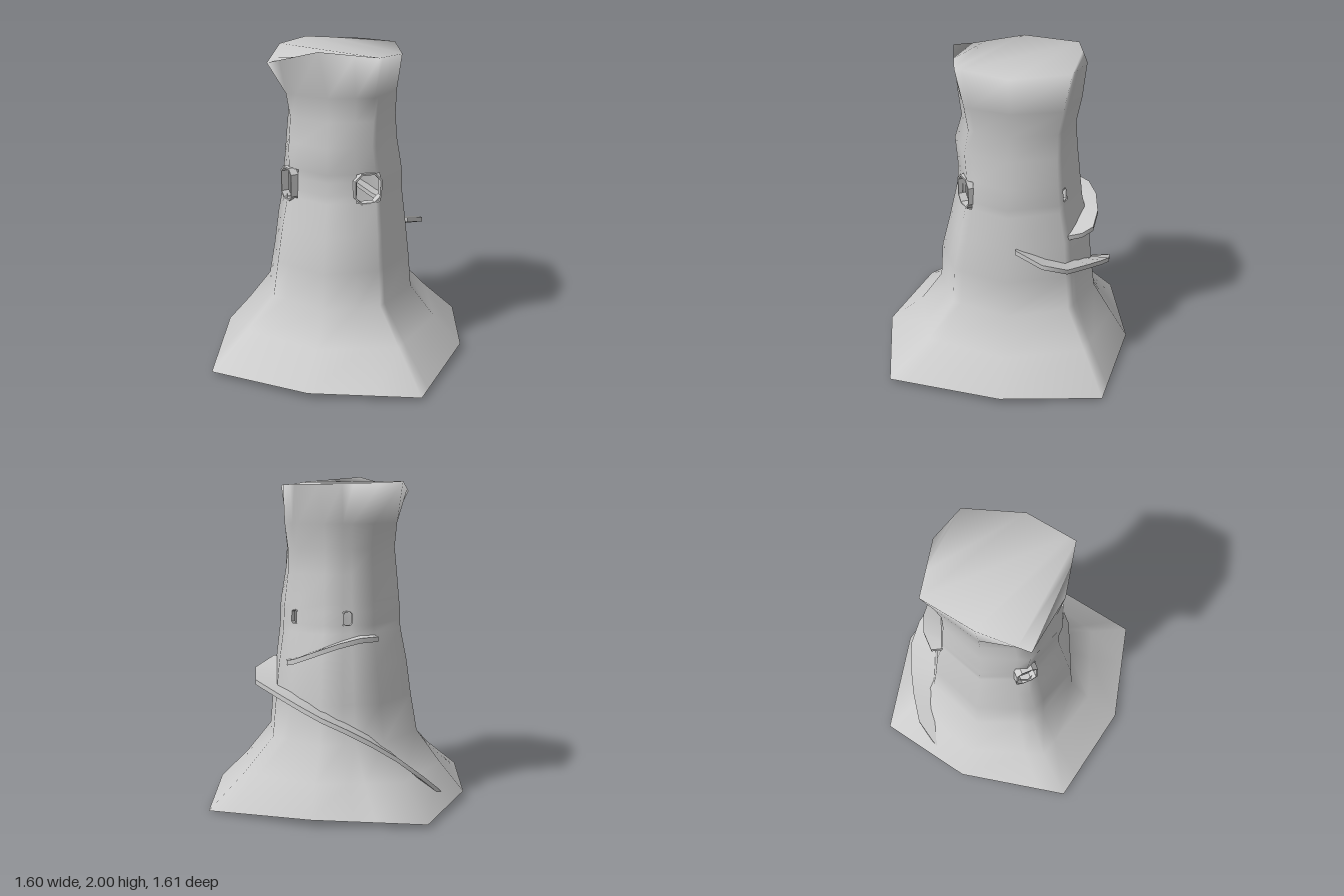
import * as THREE from 'three';

const material = new THREE.MeshStandardMaterial({ color: 0xcccccc, side: THREE.DoubleSide });

// Eight-cornered trunk rings: height, -x, +x, front z, back z, corner factor, height offsets, x offsets
const RINGS = [
  [0.03, -0.8, 0.8, 0.8, -0.81, 0.83, [0.01, -0.01, 0.01, -0.025, 0.01, -0.01, 0.01, -0.01]],
  [0.22, -0.65, 0.62, 0.58, -0.7, 0.77],
  [0.42, -0.5, 0.46, 0.44, -0.58, 0.72],
  [0.65, -0.46, 0.44, 0.425, -0.55, 0.72],
  [0.87, -0.43, 0.415, 0.37, -0.53, 0.72],
  [1.07, -0.39, 0.39, 0.325, -0.48, 0.72],
  [1.12, -0.388, 0.388, 0.315, -0.475, 0.72],
  [1.2, -0.386, 0.386, 0.31, -0.465, 0.72],
  [1.25, -0.38, 0.38, 0.31, -0.46, 0.72],
  [1.42, -0.365, 0.35, 0.325, -0.44, 0.73],
  [1.57, -0.35, 0.34, 0.28, -0.43, 0.75],
  [1.72, -0.365, 0.345, 0.3, -0.46, 0.77],
  [1.95, -0.4, 0.375, 0.33, -0.485, 0.83,
    [0.05, 0.02, -0.01, 0, 0, 0.01, 0.02, -0.04], [-0.05, -0.01, 0, -0.05, 0.03, 0, 0, -0.05]],
];

// Columns run round the ring: 0 front, 2 +x, 4 back, 6 -x
const COLUMNS = [0, 0.6, 1, 1.15, 2, 3, 3.2, 3.34, 4, 4.38, 4.56, 5, 6, 6.75, 7, 7.25];

// Openings: first and last column position, bottom and top height
const HOLES = [
  [0.6, 1.15, 1.07, 1.25],
  [6.75, 7.25, 1.07, 1.25],
  [3.2, 3.34, 1.12, 1.2],
  [4.38, 4.56, 1.12, 1.2],
];

function ringPoint([y, xl, xr, zf, zb, k, dy, dx], u) {
  const cz = -0.06;
  const corner = (i) => {
    const sx = [0, k, 1, k, 0, -k, -1, -k][i];
    const sz = [1, k, 0, -k, -1, -k, 0, k][i];
    return new THREE.Vector3(
      sx * (sx > 0 ? xr : -xl) + (dx ? dx[i] : 0),
      y + (dy ? dy[i] : 0),
      cz + sz * (sz > 0 ? zf - cz : cz - zb),
    );
  };
  const i = Math.floor(u);
  return corner(i).lerp(corner((i + 1) % 8), u - i);
}

function makeMesh(name, points, index) {
  const g = new THREE.BufferGeometry().setFromPoints(points);
  g.setIndex(index);
  g.computeVertexNormals();
  const mesh = new THREE.Mesh(g, material);
  mesh.name = name;
  return mesh;
}

// Hollow trunk, open below, with a smooth-shaded top
function makeTrunk() {
  const n = COLUMNS.length;
  const points = RINGS.flatMap((r) => COLUMNS.map((u) => ringPoint(r, u)));
  const index = [];
  for (let j = 0; j < RINGS.length - 1; j++) {
    const y = (RINGS[j][0] + RINGS[j + 1][0]) / 2;
    for (let i = 0; i < n; i++) {
      const u = (COLUMNS[i] + (COLUMNS[i + 1] ?? 8)) / 2;
      if (HOLES.some(([u0, u1, y0, y1]) => u > u0 && u < u1 && y > y0 && y < y1)) continue;
      const a = j * n + i, b = j * n + ((i + 1) % n);
      index.push(a, b, b + n, a, b + n, a + n);
    }
  }
  // Top closed by strips running from side to side
  const top = (RINGS.length - 1) * n;
  for (let i = 0; i < n / 2 - 1; i++) {
    const a = top + i, b = top + n - 1 - i;
    index.push(a, a + 1, b - 1, a, b - 1, b);
  }
  return makeMesh('trunk', points, index);
}

// Slab swept through [outer x, y, z, inner x, z] stations, smooth along and sharp at its edges
function makeSlab(name, stations, thickness) {
  const points = [], index = [];
  const sections = stations.map(([ox, y, oz, ix, iz]) => [
    new THREE.Vector3(ox, y, oz), new THREE.Vector3(ix, y, iz),
    new THREE.Vector3(ix, y - thickness, iz), new THREE.Vector3(ox, y - thickness, oz),
  ]);
  for (let k = 0; k < 4; k++) {
    sections.forEach((s, i) => {
      const a = points.length;
      points.push(s[k], s[(k + 1) % 4]);
      if (i < sections.length - 1) index.push(a, a + 1, a + 3, a, a + 3, a + 2);
    });
  }
  for (const end of [[...sections[0]].reverse(), sections.at(-1)]) {
    const a = points.length;
    points.push(...end);
    index.push(a, a + 1, a + 2, a, a + 2, a + 3);
  }
  return makeMesh(name, points, index);
}

// Thin bevel-cornered window lining, reaching inwards through the wall
function makeFrame(name, x, y, z, yaw, w, h, rim, depth) {
  const outline = (target, a, b) => {
    const c = Math.min(a, b) * 0.5;
    return target.setFromPoints([
      [a, c - b], [a, b - c], [a - c, b], [c - a, b],
      [-a, b - c], [-a, c - b], [c - a, -b], [a - c, -b],
    ].map((p) => new THREE.Vector2(...p)));
  };
  const shape = outline(new THREE.Shape(), w, h);
  shape.holes.push(outline(new THREE.Path(), w - rim, h - rim));
  const g = new THREE.ExtrudeGeometry(shape, { depth, bevelEnabled: false });
  g.translate(0, 0, 0.015 - depth);
  const mesh = new THREE.Mesh(g, material);
  mesh.position.set(x, y, z);
  mesh.rotation.y = yaw;
  mesh.name = name;
  return mesh;
}

export function createModel() {
  const model = new THREE.Group();
  model.name = 'hollowTreeTrunk';
  model.add(makeTrunk());

  // Front windows and small back openings
  model.add(makeFrame('leftWindowFrame', 0.23, 1.16, 0.225, 0.55, 0.088, 0.098, 0.01, 0.05));
  model.add(makeFrame('rightWindowFrame', -0.28, 1.15, 0.205, -0.8, 0.07, 0.105, 0.01, 0.05));
  model.add(makeFrame('backLeftPeephole', 0.2, 1.16, -0.37, 2.7, 0.026, 0.046, 0.006, 0.03));
  model.add(makeFrame('backRightPeephole', -0.13, 1.16, -0.403, -2.7, 0.032, 0.046, 0.006, 0.03));

  // Walkway winding down round the back to the ground
  model.add(makeSlab('spiralRamp', [
    [0.42, 0.87, -0.11, 0.36, -0.11],
    [0.49, 0.82, -0.28, 0.34, -0.2],
    [0.44, 0.77, -0.43, 0.3, -0.29],
    [0.25, 0.71, -0.55, 0.18, -0.38],
    [0.1, 0.66, -0.63, 0.08, -0.44],
    [-0.03, 0.61, -0.67, -0.03, -0.47],
    [-0.18, 0.55, -0.67, -0.12, -0.45],
    [-0.32, 0.47, -0.62, -0.25, -0.4],
    [-0.46, 0.37, -0.55, -0.36, -0.36],
    [-0.6, 0.24, -0.46, -0.47, -0.28],
    [-0.67, 0.14, -0.34, -0.56, -0.18],
    [-0.73, 0.03, -0.21, -0.66, -0.06],
  ], 0.03));

  // Slanted ledge below the back openings
  model.add(makeSlab('backLedge', [
    [0.25, 0.9, -0.41, 0.22, -0.34],
    [0.22, 0.91, -0.5, 0.18, -0.36],
    [0.16, 0.93, -0.565, 0.12, -0.38],
    [0.03, 0.98, -0.585, 0.02, -0.41],
    [-0.11, 1.03, -0.565, -0.1, -0.38],
    [-0.23, 1.06, -0.51, -0.2, -0.34],
    [-0.32, 1.06, -0.42, -0.26, -0.31],
  ], 0.03));
  return model;
}
